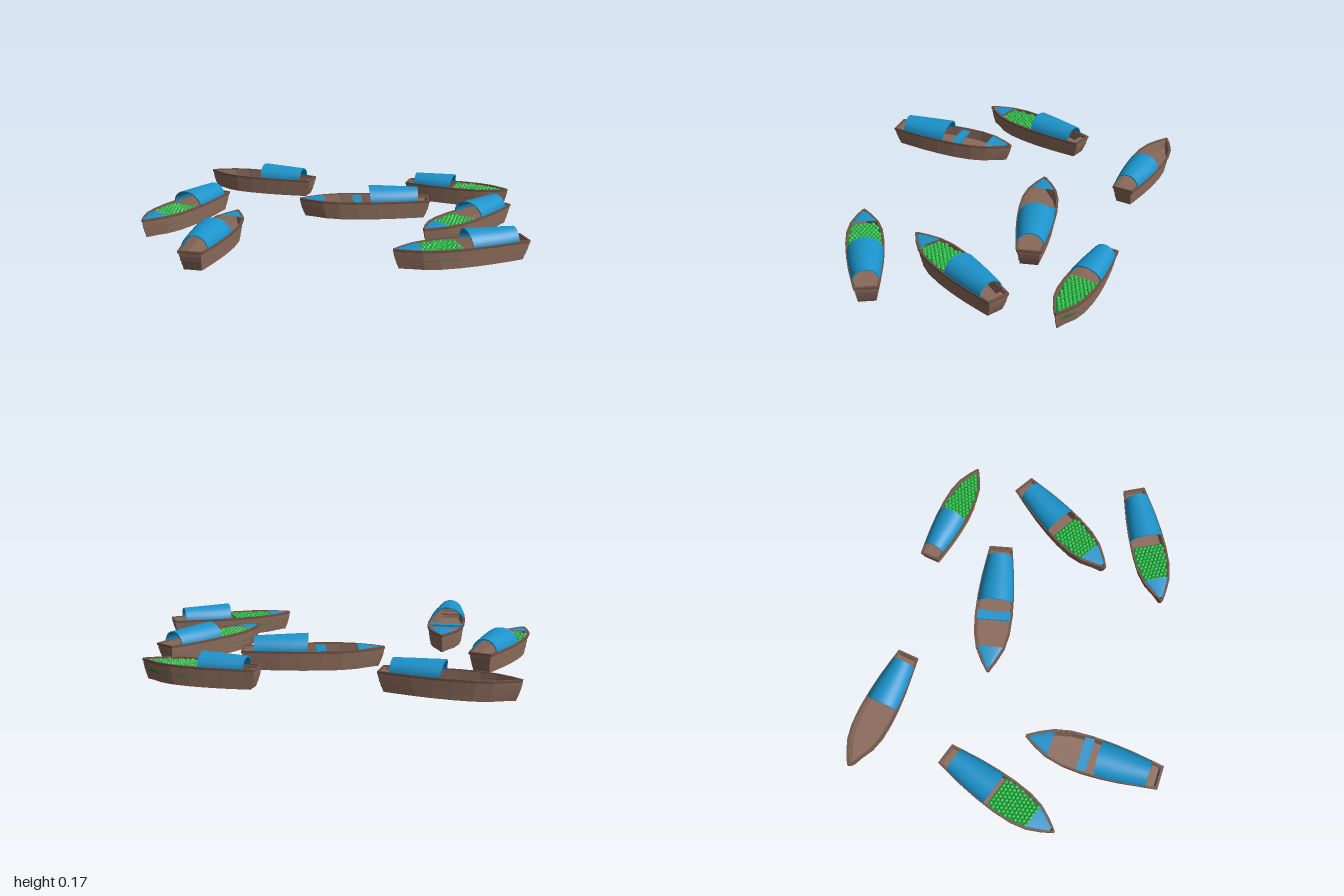
import * as THREE from 'three';
import { mergeGeometries, toCreasedNormals } from 'three/addons/utils/BufferGeometryUtils.js';

const WOOD = new THREE.MeshStandardMaterial({ color: 0x8a6a5a, flatShading: true });
const RIM = new THREE.MeshStandardMaterial({ color: 0x6f5346, flatShading: true });
const CLOTH = new THREE.MeshStandardMaterial({ color: 0x1b93cb, side: THREE.DoubleSide });
const GREEN = new THREE.MeshStandardMaterial({ color: 0x22b540, flatShading: true });

const TOP = 0.1, FLOOR = 0.045;

// Half width of the plan, as a share of length, from stern (0) to bow (1)
const STATIONS = [0, 0.1, 0.25, 0.4, 0.55, 0.7, 0.82, 0.92, 1];
const WIDTHS = [0.087, 0.102, 0.123, 0.136, 0.141, 0.133, 0.106, 0.058, 0.008];
function halfWidth(t) {
  let i = 0;
  while (i < STATIONS.length - 2 && t > STATIONS[i + 1]) i++;
  return THREE.MathUtils.mapLinear(t, STATIONS[i], STATIONS[i + 1], WIDTHS[i], WIDTHS[i + 1]);
}

// Surface through rows of points; optional caps at the first and last row
function loft(rows, closed, caps = false) {
  const pos = [], index = [], n = rows[0].length;
  rows.forEach(r => r.forEach(p => pos.push(...p)));
  for (let r = 0; r < rows.length - 1; r++) {
    for (let i = 0; i < (closed ? n : n - 1); i++) {
      const a = r * n + i, b = r * n + (i + 1) % n;
      index.push(a, a + n, b, b, a + n, b + n);
    }
  }
  if (caps) {
    const last = (rows.length - 1) * n;
    for (let i = 1; i < n - 1; i++) {
      index.push(0, i, i + 1);
      index.push(last, last + i + 1, last + i);
    }
  }
  const g = new THREE.BufferGeometry();
  g.setAttribute('position', new THREE.Float32BufferAttribute(pos, 3));
  g.setIndex(index);
  return toCreasedNormals(g, 0.6);
}

// Boat plan at height y: inset from the sides and shortened by zs
function outline(L, y, inset, zs) {
  const side = STATIONS.map(t => [Math.max(halfWidth(t) * L - inset, 0.002), y, (t - 0.5) * L * zs]);
  return [...side, ...side.map(([x, h, z]) => [-x, h, z]).reverse()];
}

function hullGeometry(L) {
  const rows = [], strakes = 4;
  // Overlapping planks, raked in towards the bottom
  for (let i = 0; i < strakes; i++) {
    for (const [k, lap] of [[i, 0], [i + 1, 0.003]]) {
      const f = k / strakes;
      rows.push(outline(L, f * (TOP - 0.004), 0.003 + 0.013 * (1 - f) + lap, 1 - 0.085 * (1 - f) ** 1.6 - lap));
    }
  }
  // Inner wall down to the floor
  rows.push(outline(L, TOP - 0.004, 0.011, 0.965), outline(L, FLOOR, 0.016, 0.93));
  return loft(rows, true, true);
}

function gunwaleGeometry(L) {
  const ring = [[TOP - 0.012, 0.003, 0.995], [TOP - 0.012, 0, 1], [TOP, 0, 1], [TOP, 0.01, 0.966], [TOP - 0.012, 0.01, 0.966]];
  return loft([...ring, ring[0]].map(([y, inset, zs]) => outline(L, y, inset, zs)), true);
}

// Arch of points across the boat
function arch(L, t, base, height, width, lean, segs = 16) {
  const pts = [];
  for (let i = 0; i <= segs; i++) {
    const a = Math.PI * i / segs;
    pts.push([Math.cos(a) * width, base + Math.sin(a) * height, (t - 0.5) * L + Math.sin(a) * lean]);
  }
  return pts;
}

// Arched cloth with an outer and inner skin, open at both ends
function canopyGeometry(L) {
  const ts = [0.09, 0.18, 0.27, 0.36, 0.45], thick = 0.006;
  const skin = d => ts.map(t => arch(L, t, TOP - 0.008,
    L * (0.094 + 0.035 * t) - d, halfWidth(t) * L * 0.96 - d, 0.012 * (t - 0.09) / 0.36));
  const outer = skin(0), inner = skin(thick).reverse();
  return loft([...outer, ...inner, outer[0]], false);
}

function bowCoverGeometry(L) {
  const rows = [0.81, 0.87, 0.92, 0.965].map(t =>
    arch(L, t, TOP - 0.003, 0.01 * (1 - t) / 0.19, Math.max(halfWidth(t) * L - 0.009, 0.003), 0, 8));
  return loft(rows, false);
}

// Staggered rows of round produce
function cargoGeometry(L, t0, t1) {
  const step = 0.021, lumps = [];
  let row = 0;
  for (let z = t0 * L + step / 2; z < t1 * L; z += step * 0.88, row++) {
    const limit = halfWidth(z / L) * L - 0.017;
    const shift = row % 2 ? step / 2 : 0;
    for (let k = -6; k <= 6; k++) {
      const x = k * step + shift;
      if (Math.abs(x) > limit) continue;
      const g = new THREE.SphereGeometry(0.0122, 7, 5);
      g.rotateY(k * 1.7 + row);
      g.translate(x, TOP - 0.014 + 0.002 * Math.sin(k * 2.3 + row * 1.9), z - L / 2);
      lumps.push(g);
    }
  }
  return mergeGeometries(lumps);
}

function add(group, name, geometry, material) {
  const m = new THREE.Mesh(geometry, material);
  m.name = name;
  group.add(m);
  return m;
}

function plank(group, name, L, t0, t1, y, material) {
  const t = (t0 + t1) / 2;
  const w = 2 * (Math.min(halfWidth(t0), halfWidth(t1)) * L - 0.01);
  add(group, name, new THREE.BoxGeometry(w, 0.01, (t1 - t0) * L), material).position.set(0, y, (t - 0.5) * L);
}

function makeBoat({ bow, stern, cargo, cover, bench }) {
  const boat = new THREE.Group();
  const dx = bow[0] - stern[0], dz = bow[1] - stern[1], L = Math.hypot(dx, dz);
  add(boat, 'hull', hullGeometry(L), WOOD);
  add(boat, 'gunwale', gunwaleGeometry(L), RIM);
  add(boat, 'canopy', canopyGeometry(L), CLOTH);
  plank(boat, 'sternSeat', L, 0.03, 0.08, 0.075, WOOD);
  if (cover) add(boat, 'bowCover', bowCoverGeometry(L), CLOTH);
  if (bench) plank(boat, 'bench', L, 0.52, 0.59, 0.085, CLOTH);
  if (cargo) {
    // Tray boards under the produce
    const tray = STATIONS.filter(t => t > cargo[0] && t < cargo[1]);
    const rows = [cargo[0], ...tray, cargo[1]].map(t => {
      const w = Math.max(halfWidth(t) * L - 0.012, 0.003), z = (t - 0.5) * L;
      return [[-w, FLOOR, z], [-w, TOP - 0.018, z], [w, TOP - 0.018, z], [w, FLOOR, z]];
    });
    add(boat, 'cargoTray', loft(rows, false), GREEN).material = new THREE.MeshStandardMaterial({ color: 0x178030, side: THREE.DoubleSide });
    add(boat, 'produce', cargoGeometry(L, ...cargo), GREEN);
  }
  boat.rotation.y = Math.atan2(dx, dz);
  boat.position.set((bow[0] + stern[0]) / 2, 0, (bow[1] + stern[1]) / 2);
  return boat;
}

export function createModel() {
  const model = new THREE.Group();
  model.name = 'marketBoats';
  const boats = [
    { bow: [-0.998, -0.69], stern: [-0.35, -0.635] },
    { bow: [0.786, -0.695], stern: [0.2, -0.746], cargo: [0.47, 0.95] },
    { bow: [-0.297, -0.215], stern: [0.388, -0.404], cover: true, bench: true },
    { bow: [0.468, 0.165], stern: [0.786, -0.425], cover: true, cargo: [0.51, 0.82] },
    { bow: [0.388, 0.508], stern: [0.967, 0.158], cover: true, cargo: [0.51, 0.82] },
    { bow: [-0.952, 0.392], stern: [-0.773, -0.257], cover: true, cargo: [0.48, 0.82] },
    { bow: [-0.545, 0.09], stern: [-0.516, 0.797], cover: true, bench: true },
  ];
  boats.forEach((spec, i) => {
    const boat = makeBoat(spec);
    boat.name = 'boat' + (i + 1);
    model.add(boat);
  });
  return model;
}
